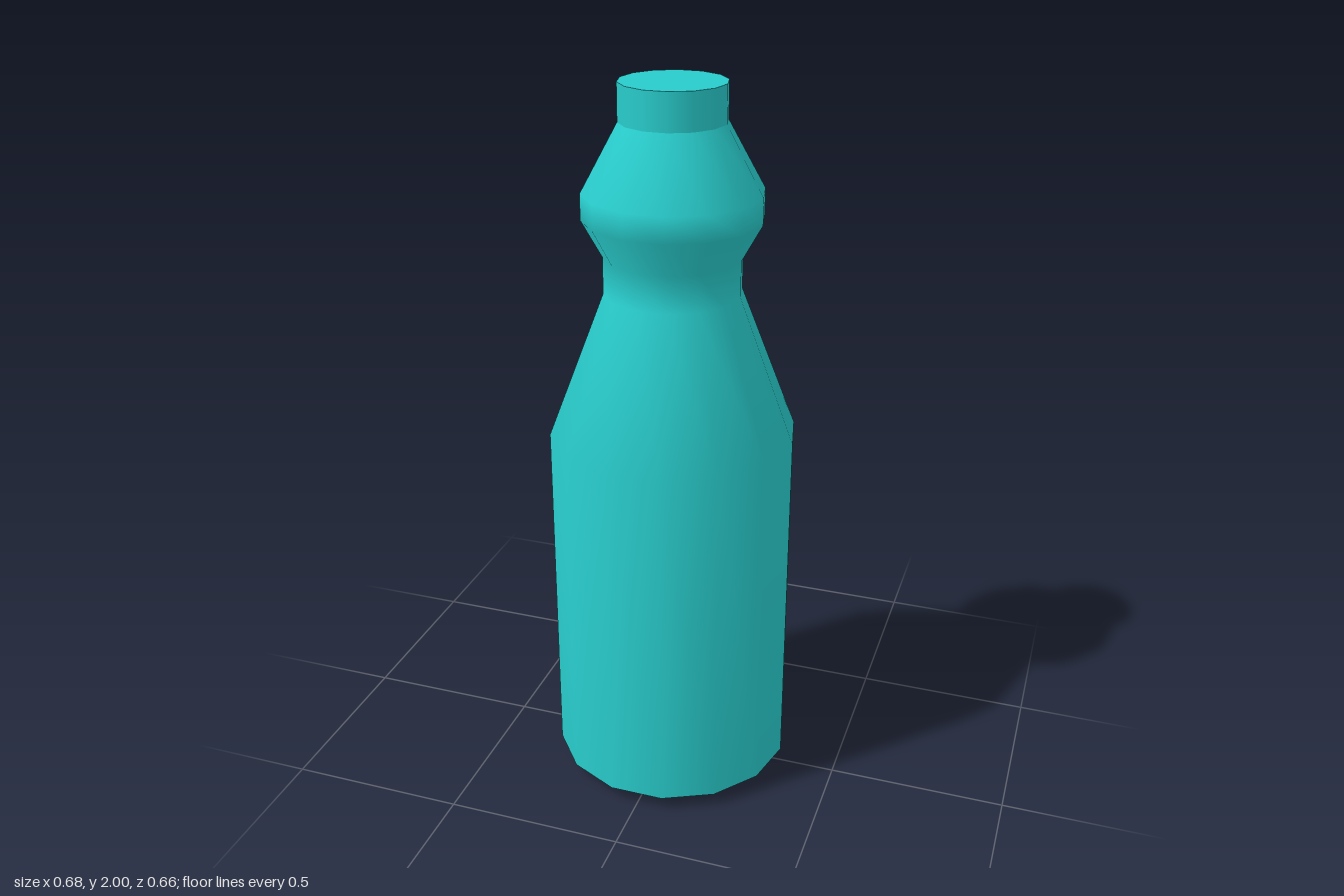
import * as THREE from 'three';

const SIDES = 14;

export function createModel() {
  const bottle = new THREE.Group();
  bottle.name = 'bottle';
  const material = new THREE.MeshStandardMaterial({ color: 0x29cccc });

  // Each part is its own lathe, so edges between parts stay sharp
  const addPart = (name, profile) => {
    const points = profile.map(([r, y]) => new THREE.Vector2(r, y));
    const geometry = new THREE.LatheGeometry(points, SIDES, Math.PI / 2);
    const mesh = new THREE.Mesh(geometry, material);
    mesh.name = name;
    bottle.add(mesh);
  };

  // Flat underside with its bevel
  addPart('base', [[0, 0], [0.28, 0], [0.34, 0.04]]);

  // Straight wall, shoulder, waist and grip bulge
  addPart('body', [
    [0.34, 0.04], [0.34, 1.05], [0.186, 1.45], [0.186, 1.55],
    [0.241, 1.65], [0.241, 1.72], [0.142, 1.9],
  ]);

  // Short straight neck and its closed top
  addPart('neck', [[0.142, 1.9], [0.142, 2]]);
  addPart('neckTop', [[0.142, 2], [0, 2]]);

  return bottle;
}
